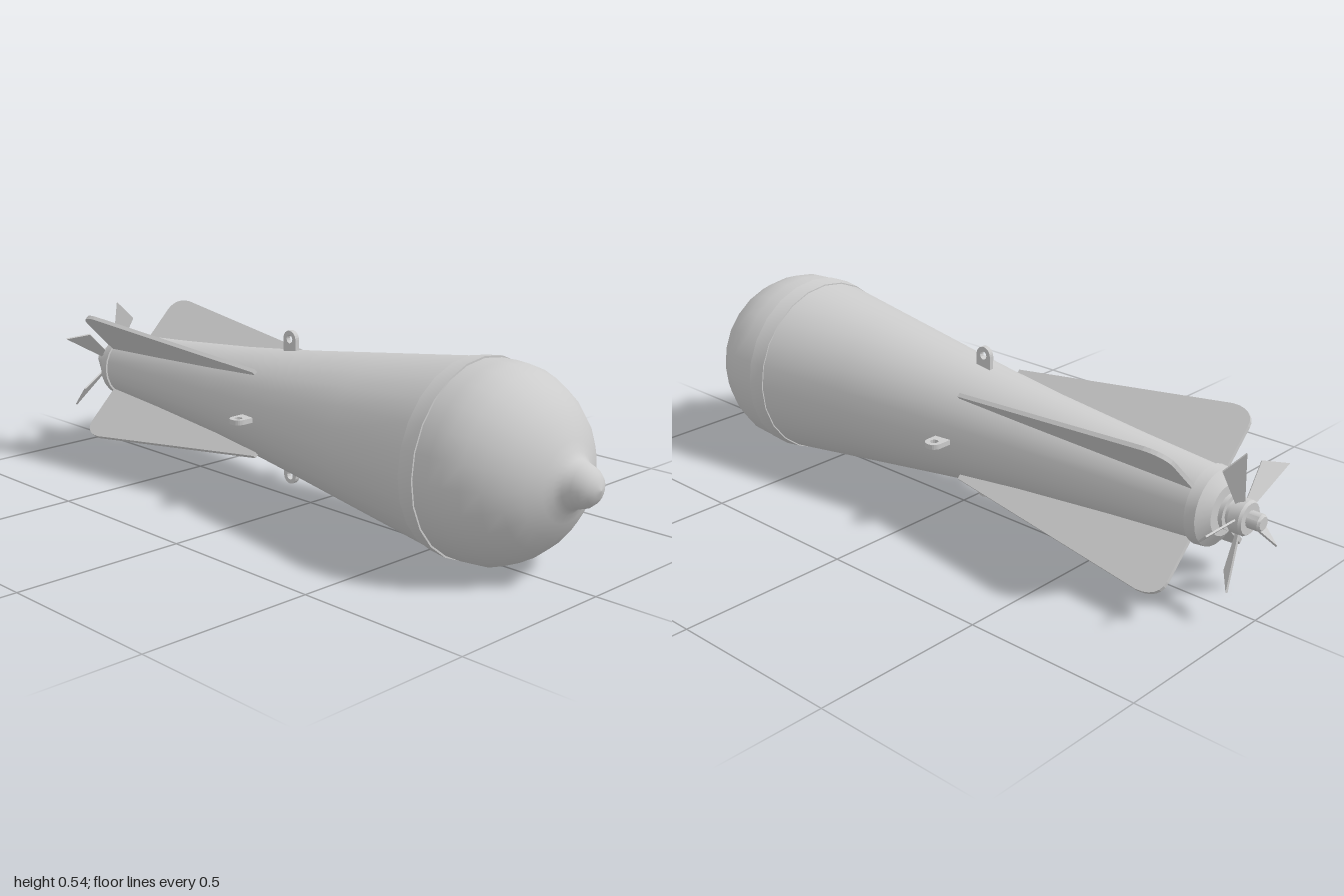
import * as THREE from 'three';
import { toCreasedNormals } from 'three/addons/utils/BufferGeometryUtils.js';

const AXIS_Y = 0.27;
const SIDES = 24;

export function createModel() {
  const model = new THREE.Group();
  model.name = 'finnedBomb';
  const bomb = new THREE.Group();
  bomb.name = 'bomb';
  bomb.position.y = AXIS_Y;
  model.add(bomb);
  const grey = new THREE.MeshStandardMaterial({ color: 0xcccccc });

  const add = (name, geometry, angle = 0) => {
    const mesh = new THREE.Mesh(geometry, grey);
    mesh.name = name;
    mesh.rotation.z = angle;
    bomb.add(mesh);
    return mesh;
  };

  // Turned part along z; profile is [z, radius] from tail to nose
  const turned = (profile, sides = SIDES, crease = 0.5) => {
    const pts = profile.map(([z, r]) => new THREE.Vector2(r, z));
    const geo = new THREE.LatheGeometry(pts, sides).rotateX(Math.PI / 2);
    return crease ? toCreasedNormals(geo, crease) : geo;
  };

  // Flat plate: shape x is radial, shape y runs along the body axis
  const plate = (shape, thickness, curveSegments = 6) =>
    new THREE.ExtrudeGeometry(shape, { depth: thickness, bevelEnabled: false, curveSegments })
      .translate(0, 0, -thickness / 2)
      .rotateX(Math.PI / 2);

  // Domed nose with a small rounded tip
  add('nose', turned([
    [0.63, 0.265], [0.68, 0.266], [0.72, 0.263], [0.765, 0.247], [0.81, 0.221], [0.85, 0.187],
    [0.882, 0.147], [0.905, 0.105], [0.916, 0.08], [0.93, 0.064], [0.95, 0.057],
    [0.968, 0.051], [0.984, 0.038], [0.995, 0.02], [1.0, 0],
  ], SIDES, 0));

  // Joint band between nose and body
  add('noseBand', turned([[0.582, 0.26], [0.582, 0.264], [0.632, 0.27], [0.632, 0.262]]));

  // Long tapered body
  add('body', turned([
    [-0.84, 0.1], [-0.6, 0.118], [-0.3, 0.145], [-0.1, 0.168], [0, 0.181], [0.3, 0.222], [0.6, 0.263],
  ]));

  // Tail cap
  add('tailCap', turned([
    [-0.892, 0], [-0.892, 0.068], [-0.868, 0.103], [-0.838, 0.106], [-0.838, 0.09],
  ]));

  // Propeller collar, hub and shaft end
  add('propellerCollar', turned([[-0.91, 0], [-0.91, 0.047], [-0.898, 0.047], [-0.898, 0.036], [-0.885, 0.036]], 16));
  add('propellerHub', turned([
    [-0.962, 0], [-0.962, 0.042], [-0.955, 0.047], [-0.925, 0.047], [-0.92, 0.034], [-0.9, 0.034],
  ], 16));
  add('propellerShaft', turned([[-1, 0], [-1, 0.018], [-0.994, 0.023], [-0.95, 0.023]], 12, 0.6));

  // Four diagonal tail fins with rounded rear corners
  const fin = new THREE.Shape();
  fin.moveTo(0.08, -0.84);
  fin.lineTo(0.225, -0.84);
  fin.bezierCurveTo(0.255, -0.84, 0.274, -0.815, 0.272, -0.77);
  fin.lineTo(0.18, -0.1);
  fin.lineTo(0.14, -0.1);
  fin.closePath();
  const finGeometry = plate(fin, 0.012);

  // Four lifting lugs with round eyes
  const lug = new THREE.Shape();
  lug.moveTo(0.15, -0.105);
  lug.lineTo(0.204, -0.105);
  lug.absarc(0.204, -0.08, 0.025, -Math.PI / 2, Math.PI / 2, false);
  lug.lineTo(0.15, -0.055);
  lug.closePath();
  const eye = new THREE.Path();
  eye.absarc(0.204, -0.08, 0.012, 0, Math.PI * 2, true);
  lug.holes.push(eye);
  const lugGeometry = plate(lug, 0.014);

  for (let i = 0; i < 4; i++) {
    const angle = i * Math.PI / 2;
    add('tailFin', finGeometry, angle + Math.PI / 4);
    add('liftingLug', lugGeometry, angle);
  }

  // Five pitched propeller blades, widening to slanted tips
  const blade = new THREE.Shape([
    [0.03, -0.01], [0.15, -0.032], [0.19, 0.032], [0.03, 0.01],
  ].map(([x, y]) => new THREE.Vector2(x, y)));
  const bladeGeometry = new THREE.ExtrudeGeometry(blade, { depth: 0.005, bevelEnabled: false })
    .translate(0, 0, -0.0025)
    .rotateX(-Math.PI / 4)
    .translate(0, 0, -0.938);
  for (let i = 0; i < 5; i++) add('propellerBlade', bladeGeometry, i * Math.PI * 2 / 5);

  return model;
}
